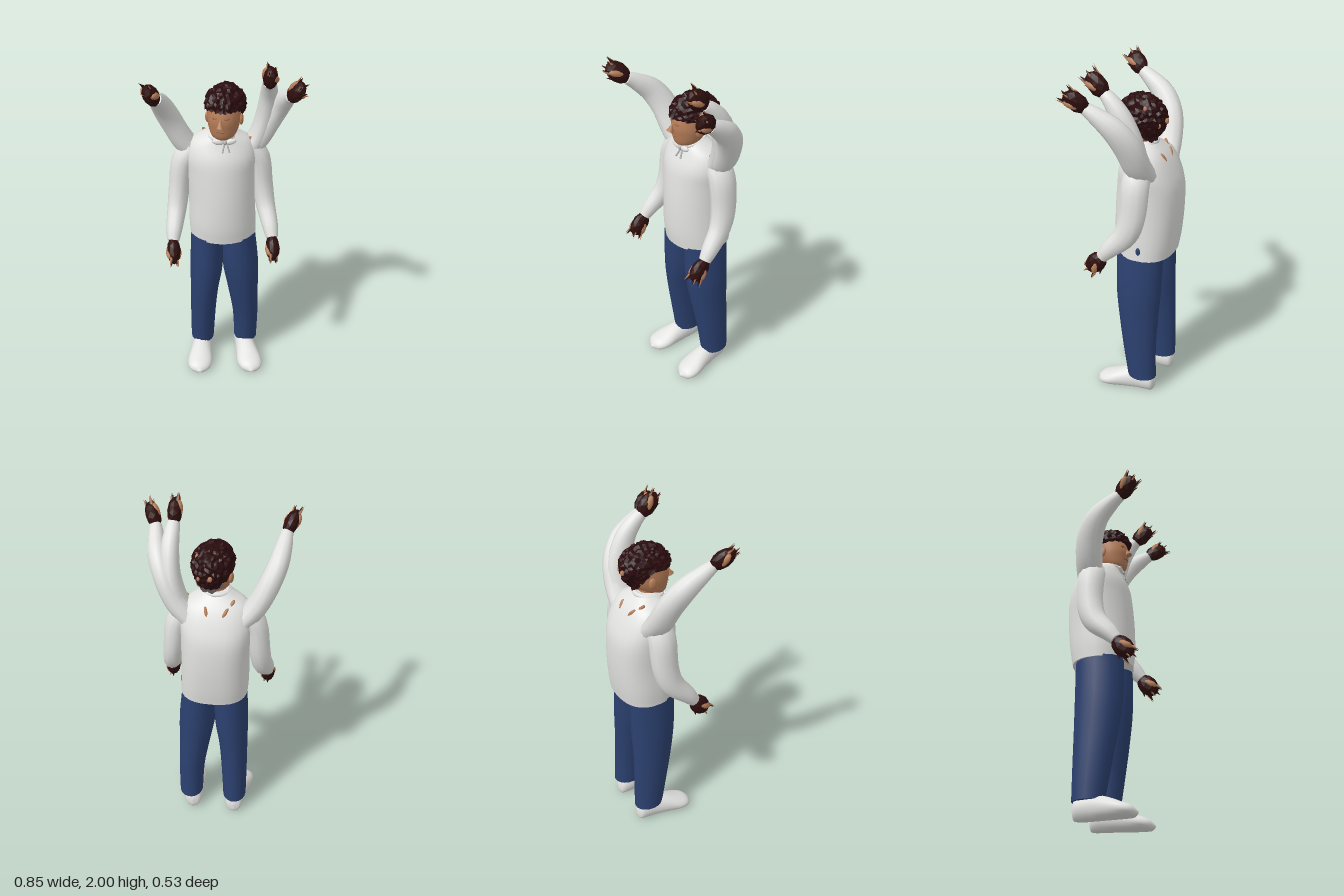
import * as THREE from 'three';

const mat = (name, color, extra = {}) => {
  const m = new THREE.MeshStandardMaterial({ color, ...extra });
  m.name = name;
  return m;
};
const M = {
  shirt: mat('white cloth', 0xe2e2e0),
  trim: mat('grey trim', 0xb4b4b2),
  trousers: mat('blue cloth', 0x2c4170),
  skin: mat('skin', 0xb67d58),
  crease: mat('dark skin', 0x98664a),
  glove: mat('dark brown', 0x2e0f0e, { flatShading: true }),
  hair: mat('hair brown', 0x2a0b0d, { flatShading: true }),
};

function mesh(name, geometry, material, parent, pos = [0, 0, 0], scale = [1, 1, 1], rot = [0, 0, 0]) {
  const m = new THREE.Mesh(geometry, material);
  m.name = name;
  m.position.set(...pos);
  m.scale.set(...scale);
  m.rotation.set(...rot);
  parent.add(m);
  return m;
}

// Sweeps ellipses through sections [x, y, z, radiusA, radiusB]; axis fixes the ring
// direction, and a power below 1 squares off the rear half of each ring.
function loft(sections, axis = null, sides = 16, rearPower = 1) {
  const centre = new THREE.CatmullRomCurve3(sections.map(s => new THREE.Vector3(s[0], s[1], s[2])));
  const radius = new THREE.CatmullRomCurve3(sections.map(s => new THREE.Vector3(s[3], s[4], 0)));
  centre.curveType = radius.curveType = 'catmullrom';
  const rows = (sections.length - 1) * 4, pos = [], idx = [];
  const ring = (k) => {
    const p = centre.getPoint(k / rows), r = radius.getPoint(k / rows);
    const t = axis ? new THREE.Vector3(...axis) : centre.getTangent(k / rows);
    const a = new THREE.Vector3(1, 0, 0).addScaledVector(t, -t.x).normalize();
    const b = new THREE.Vector3().crossVectors(t, a);
    for (let j = 0; j < sides; j++) {
      const w = j / sides * Math.PI * 2, power = Math.sin(w) > 0 ? rearPower : 1;
      const bend = c => Math.sign(c) * Math.abs(c) ** power;
      const v = p.clone().addScaledVector(a, r.x * bend(Math.cos(w))).addScaledVector(b, r.y * bend(Math.sin(w)));
      pos.push(v.x, v.y, v.z);
    }
    return p;
  };
  for (let k = 0; k <= rows; k++) ring(k);
  for (let k = 0; k < rows; k++) for (let j = 0; j < sides; j++) {
    const a = k * sides + j, b = k * sides + (j + 1) % sides;
    idx.push(a, b, a + sides, b, b + sides, a + sides);
  }
  // end caps with their own vertices
  for (const k of [0, rows]) {
    const start = pos.length / 3, p = ring(k), c = start + sides;
    pos.push(p.x, p.y, p.z);
    for (let j = 0; j < sides; j++) {
      const a = start + j, b = start + (j + 1) % sides;
      if (k) idx.push(c, a, b); else idx.push(c, b, a);
    }
  }
  const g = new THREE.BufferGeometry();
  g.setAttribute('position', new THREE.Float32BufferAttribute(pos, 3));
  g.setIndex(idx);
  g.computeVertexNormals();
  return g;
}

const UP = [0, 1, 0];
const ball = new THREE.SphereGeometry(1, 14, 10);
const chunk = new THREE.IcosahedronGeometry(1, 1);

// Dark hand with bare patches and short pointed fingers, built along +y
function hand(name, parent, pos, dir) {
  const g = new THREE.Group();
  g.name = name;
  g.position.set(...pos);
  g.quaternion.setFromUnitVectors(new THREE.Vector3(0, 1, 0), new THREE.Vector3(...dir).normalize());
  parent.add(g);
  mesh('palm', chunk, M.glove, g, [0, 0.058, 0], [0.04, 0.078, 0.055]);
  for (const s of [-1, 1]) {
    mesh('barePatch', chunk, M.skin, g, [s * 0.022, 0.068, 0.014 * s], [0.022, 0.045, 0.021], [0.4 * s, 0, 0]);
  }
  for (let i = 0; i < 4; i++) {
    const z = (i - 1.5) * 0.022, x = i % 2 ? 0.014 : -0.012;
    mesh('finger', new THREE.ConeGeometry(0.016, 0.07, 5), M.glove, g, [x, 0.115, z], [1, 1, 1], [z * 5, 0, -x * 9]);
    mesh('fingertip', new THREE.ConeGeometry(0.008, 0.05, 4), M.skin, g,
      [x * 1.6, 0.126, z * 1.25], [1, 1, 1], [z * 6, 0, -x * 12]);
  }
  mesh('thumb', new THREE.ConeGeometry(0.015, 0.06, 5), M.glove, g, [0, 0.075, 0.048], [1, 1, 1], [0.5, 0, 0]);
}

function arm(name, parent, side, path, handDir) {
  const p = path.map(([x, ...rest]) => [x * side, ...rest]);
  mesh(name + 'Sleeve', loft(p, null, 12), M.shirt, parent);
  const e = p[p.length - 1];
  hand(name + 'Hand', parent, e.slice(0, 3), [handDir[0] * side, handDir[1], handDir[2]]);
}

function head(parent) {
  const g = new THREE.Group();
  g.name = 'head';
  g.position.set(0.014, 1.65, -0.025);
  g.rotation.y = -0.25;
  parent.add(g);
  mesh('face', loft([
    [0, -0.128, 0.05, 0.025, 0.022], [0, -0.105, 0.028, 0.064, 0.068], [0, -0.055, 0.008, 0.084, 0.098],
    [0, 0, 0, 0.091, 0.11], [0, 0.08, -0.015, 0.084, 0.1], [0, 0.13, -0.02, 0.05, 0.06],
  ], UP, 20), M.skin, g);
  mesh('nose', new THREE.ConeGeometry(0.02, 0.055, 8), M.skin, g, [0, -0.012, 0.113], [1, 1, 1], [-0.35, 0, 0]);
  mesh('mouth', ball, M.crease, g, [0, -0.063, 0.104], [0.026, 0.005, 0.005]);
  for (const s of [-1, 1]) {
    mesh('eye', ball, M.crease, g, [s * 0.034, 0.012, 0.1], [0.015, 0.006, 0.005], [0, s * 0.35, 0]);
    mesh('ear', ball, M.skin, g, [s * 0.093, -0.025, -0.005], [0.012, 0.032, 0.022]);
  }
  // Tousled hair: bumpy cap drawn back from the face and ears below the fringe
  const geo = new THREE.IcosahedronGeometry(1, 8), p = geo.attributes.position, v = new THREE.Vector3();
  for (let i = 0; i < p.count; i++) {
    v.fromBufferAttribute(p, i);
    const n = Math.sin(Math.round(v.x * 500) * 12.99 + Math.round(v.y * 500) * 78.23 + Math.round(v.z * 500) * 37.72) * 43758.5;
    const bump = 0.93 + 0.14 * (n - Math.floor(n));
    v.set(v.x * 0.112 * bump, v.y * 0.124 * bump, v.z * 0.141 * bump);
    if (v.y < 0.004) {
      v.z = Math.min(v.z, -0.005 + v.y * 0.6);
      v.x *= 1 + Math.max(-0.12, v.y * 3);
    }
    p.setXYZ(i, v.x, v.y, v.z);
  }
  geo.computeVertexNormals();
  mesh('hair', geo, M.hair, g, [0.003, 0.038, -0.016]);
  // Small bare spots at the back of the hair
  for (const [x, y, z] of [[-0.03, 0.03, -0.15], [0.035, 0.02, -0.146], [0.066, 0.105, -0.08]]) {
    mesh('bareSpot', chunk, M.skin, g, [x, y, z], [0.012, 0.016, 0.012]);
  }
}

export function createModel() {
  const root = new THREE.Group();
  root.name = 'figure';

  // Loose sweatshirt, broad across the back
  mesh('shirt', loft([
    [0.012, 0.9, -0.066, 0.19, 0.168], [0.008, 1.0, -0.068, 0.191, 0.182], [0.005, 1.15, -0.074, 0.188, 0.188],
    [0, 1.3, -0.077, 0.194, 0.18], [0, 1.4, -0.068, 0.2, 0.155], [0, 1.48, -0.063, 0.172, 0.115],
    [0, 1.53, -0.05, 0.1, 0.082], [0, 1.555, -0.045, 0.062, 0.06],
  ], UP, 28, 0.8), M.shirt, root);

  // Neck, collar and tied drawstring
  mesh('neck', new THREE.CylinderGeometry(0.052, 0.058, 0.12, 16), M.skin, root, [0.005, 1.54, -0.035]);
  mesh('collar', new THREE.TorusGeometry(0.068, 0.014, 8, 24), M.shirt, root, [0, 1.535, -0.035], [1, 1.1, 1], [Math.PI / 2 + 0.15, 0, 0]);
  for (const s of [-1, 1]) {
    mesh('bowLoop', ball, M.shirt, root, [0.01 + s * 0.034, 1.515, 0.045], [0.032, 0.016, 0.012], [0, 0, s * 0.2]);
    mesh('drawstring', new THREE.CylinderGeometry(0.005, 0.005, 0.06, 6), M.trim, root,
      [0.018 + s * 0.012, 1.485, 0.054], [1, 1, 1], [-0.5, 0, s * 0.25]);
  }
  mesh('bowKnot', ball, M.trim, root, [0.014, 1.513, 0.052], [0.011, 0.012, 0.01]);

  // Bare streaks across the shoulders and a blue spot at the hem
  for (const [x, y, z, tilt] of [[-0.055, 1.475, -0.172, 0.5], [0.045, 1.475, -0.172, -0.2], [-0.085, 1.505, -0.132, 0.5], [0.15, 1.482, -0.05, -0.6]]) {
    mesh('bareStreak', ball, M.skin, root, [x, y, z], [0.01, 0.032, 0.012], [0.5, 0, tilt]);
  }
  mesh('hemSpot', chunk, M.trousers, root, [0.194, 0.96, -0.09], [0.01, 0.028, 0.016]);

  head(root);

  // Lowered pair, raised pair, and one further raised arm on the left
  const lowered = [[0.15, 1.44, -0.08, 0.065, 0.075], [0.21, 1.36, -0.08, 0.065, 0.08], [0.235, 1.2, -0.075, 0.06, 0.076],
    [0.252, 1.08, -0.04, 0.055, 0.068], [0.272, 0.985, 0.045, 0.046, 0.05], [0.28, 0.93, 0.09, 0.034, 0.036]];
  const raised = [[0.14, 1.39, -0.105, 0.055, 0.075], [0.212, 1.48, -0.092, 0.062, 0.08], [0.272, 1.6, -0.07, 0.06, 0.08],
    [0.315, 1.7, -0.015, 0.055, 0.068], [0.337, 1.77, 0.07, 0.044, 0.048], [0.347, 1.808, 0.13, 0.032, 0.034]];
  const extra = [[0.15, 1.4, -0.08, 0.05, 0.07], [0.205, 1.5, -0.08, 0.05, 0.075], [0.238, 1.62, -0.065, 0.05, 0.073],
    [0.25, 1.74, -0.025, 0.049, 0.06], [0.246, 1.82, 0.03, 0.042, 0.045], [0.24, 1.86, 0.075, 0.032, 0.033]];
  for (const [side, word] of [[1, 'left'], [-1, 'right']]) {
    arm(word + 'Lowered', root, side, lowered, [0, -0.11, 0.09]);
    arm(word + 'Raised', root, side, raised, [0.045, 0.08, 0.09]);
  }
  arm('leftSecondRaised', root, 1, extra, [0, 0.085, 0.08]);

  // Trousers: legs taper and lean back towards the ankle
  mesh('leftTrouserLeg', loft([
    [0.155, 0.1, -0.1, 0.07, 0.086], [0.151, 0.3, -0.082, 0.077, 0.1], [0.132, 0.5, -0.067, 0.092, 0.118],
    [0.115, 0.68, -0.06, 0.106, 0.133], [0.1, 0.91, -0.06, 0.096, 0.138],
  ], UP, 18), M.trousers, root);
  mesh('rightTrouserLeg', loft([
    [-0.114, 0.1, -0.11, 0.07, 0.09], [-0.109, 0.3, -0.092, 0.076, 0.107], [-0.1, 0.5, -0.074, 0.084, 0.124],
    [-0.086, 0.68, -0.064, 0.097, 0.136], [-0.08, 0.91, -0.062, 0.095, 0.138],
  ], UP, 18), M.trousers, root);

  // Flat-soled shoes
  for (const [side, dx, dz, word] of [[1, 0.025, 0.015, 'left'], [-1, 0, 0, 'right']]) {
    const geo = loft([
      [0.115, 0.05, -0.195, 0.006, 0.02], [0.115, 0.055, -0.18, 0.042, 0.058], [0.115, 0.06, -0.14, 0.053, 0.07],
      [0.12, 0.06, -0.08, 0.057, 0.074], [0.13, 0.05, 0, 0.066, 0.064], [0.14, 0.035, 0.08, 0.076, 0.046],
      [0.145, 0.025, 0.135, 0.058, 0.032], [0.145, 0.018, 0.165, 0.008, 0.008],
    ].map(([x, y, z, a, b]) => [(x + dx) * side, y, z + dz, a, b]), [0, 0, 1], 18);
    const p = geo.attributes.position;
    for (let i = 0; i < p.count; i++) p.setY(i, Math.max(0, p.getY(i)));
    geo.computeVertexNormals();
    mesh(word + 'Shoe', geo, M.shirt, root);
  }
  return root;
}
